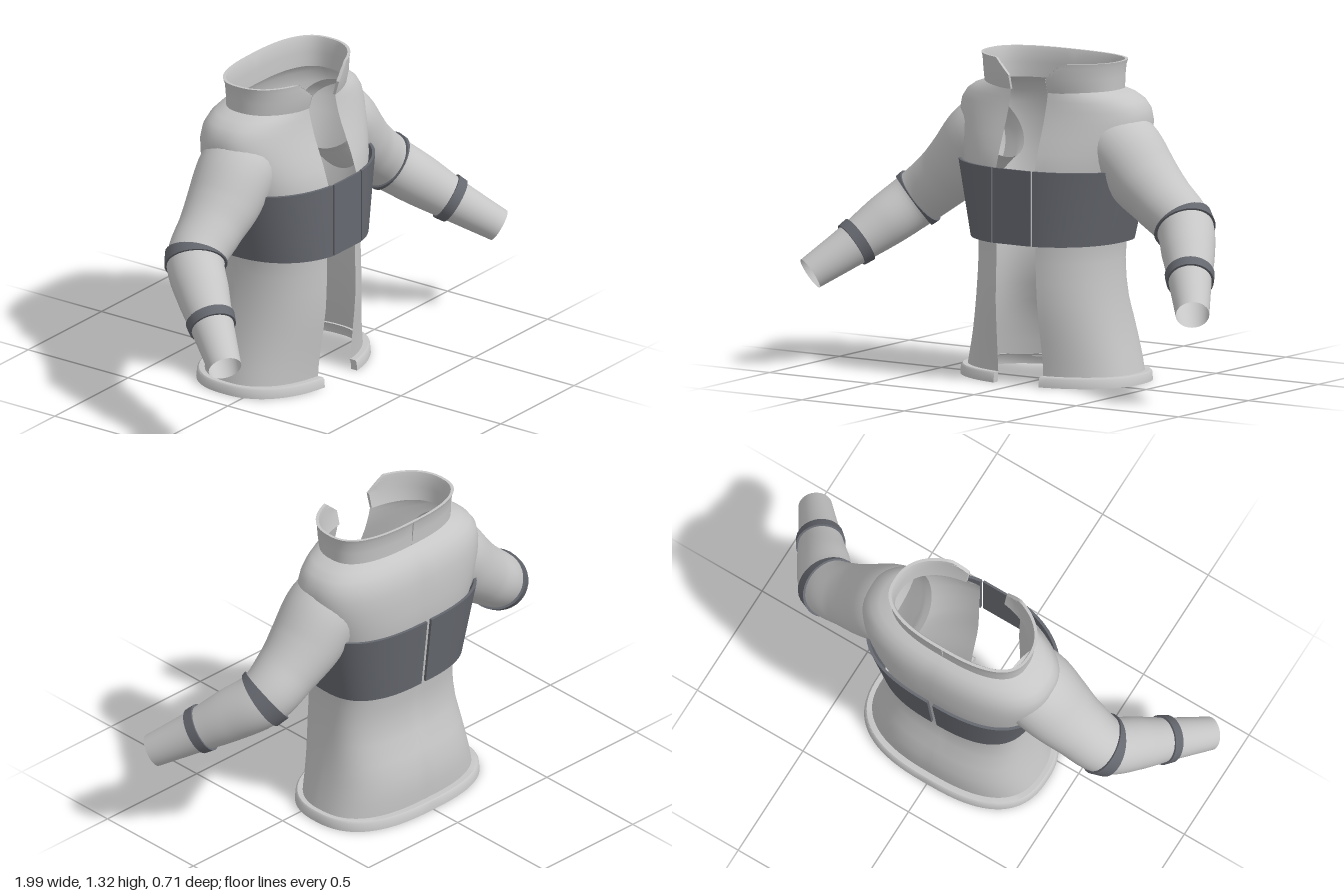
import * as THREE from 'three';
import { toCreasedNormals } from 'three/addons/utils/BufferGeometryUtils.js';

const mat = (name, color) => {
  const m = new THREE.MeshStandardMaterial({ color, side: THREE.DoubleSide });
  m.name = name;
  return m;
};

// Surface through rows of points; closed profiles get end caps
function surface(rows, capped = false) {
  const n = rows[0].length, idx = [];
  for (let i = 0; i < rows.length - 1; i++) {
    for (let j = 0; j < n - 1; j++) {
      const a = i * n + j, b = a + 1, c = a + n, d = c + 1;
      idx.push(a, b, d, a, d, c);
    }
  }
  if (capped) {
    for (const e of [0, n - 1]) {
      for (let i = 1; i < rows.length - 2; i++) idx.push(e, i * n + e, (i + 1) * n + e);
    }
  }
  const g = new THREE.BufferGeometry();
  g.setAttribute('position', new THREE.Float32BufferAttribute(rows.flat(2), 3));
  g.setIndex(idx);
  return toCreasedNormals(g, 0.75);
}

// Half of a garment cross-section, from the front opening to the back centre.
// level: [y, half width, front z, back z, front gap, back gap]
function halfSection([y, w, front, back, gap = 0.1, backGap = 0], side, eF = 0.9, eB = 0.76) {
  const zc = -0.08, n = 36, row = [];
  const t0 = Math.asin(Math.pow(gap / w, 1 / eF));
  const t1 = Math.PI - Math.asin(Math.pow(backGap / w, 1 / eB));
  const depth = (front - zc) / Math.pow(Math.cos(t0), eF);
  for (let i = 0; i <= n; i++) {
    const t = t0 + (t1 - t0) * i / n, c = Math.cos(t), e = c > 0 ? eF : eB;
    const x = w * Math.pow(Math.max(0, Math.sin(t)), e);
    const z = zc + Math.pow(Math.abs(c), e) * (c > 0 ? depth : back - zc);
    row.push([side * x, y, z]);
  }
  return row;
}

// Closed, thin-walled strip: outer wall up, inner wall down
function strip(levels, thick, side, shape = r => r) {
  const inner = levels.map(([y, w, f, b, ...g]) => [y, w - thick, f - thick, b + thick, ...g]).reverse();
  const rows = [...levels, ...inner, levels[0]].map(l => shape(halfSection(l, side)));
  return surface(rows, true);
}

const bodyLevels = [
  [0.03, 0.382, 0.165, -0.325, 0.11], [0.10, 0.365, 0.170, -0.328, 0.11],
  [0.18, 0.345, 0.180, -0.322, 0.107], [0.26, 0.330, 0.190, -0.300, 0.104],
  [0.34, 0.317, 0.198, -0.270, 0.101], [0.42, 0.309, 0.200, -0.256, 0.098],
  [0.50, 0.304, 0.200, -0.258, 0.096], [0.58, 0.306, 0.200, -0.270, 0.095],
  [0.70, 0.335, 0.205, -0.285, 0.095], [0.80, 0.362, 0.208, -0.302, 0.095],
  [0.88, 0.385, 0.205, -0.315, 0.094], [0.95, 0.408, 0.183, -0.318, 0.093],
  [1.01, 0.425, 0.160, -0.317, 0.092], [1.07, 0.432, 0.136, -0.313, 0.091],
  [1.12, 0.424, 0.120, -0.302, 0.09], [1.155, 0.400, 0.111, -0.284, 0.09],
  [1.18, 0.362, 0.106, -0.262, 0.09], [1.2, 0.308, 0.102, -0.23, 0.09],
];

// Sleeve centre line and radius
const armKeys = [
  [0.28, 1.00, -0.07, 0.145], [0.34, 0.96, -0.07, 0.152], [0.44, 0.85, -0.068, 0.143],
  [0.53, 0.77, -0.065, 0.127], [0.65, 0.675, -0.05, 0.115], [0.74, 0.585, 0.05, 0.106],
  [0.82, 0.50, 0.155, 0.088], [0.935, 0.385, 0.305, 0.068],
];
const armPath = new THREE.CatmullRomCurve3(armKeys.map(k => new THREE.Vector3(k[0], k[1], k[2])));
const armRadius = new THREE.CatmullRomCurve3(armKeys.map(k => new THREE.Vector3(k[3], k[1], 0)));

function armRing(t, grow, side) {
  const p = armPath.getPoint(t), d = armPath.getTangent(t), r = armRadius.getPoint(t).x + grow;
  const u = new THREE.Vector3().crossVectors(d, new THREE.Vector3(0, 0, 1)).normalize();
  const v = new THREE.Vector3().crossVectors(d, u);
  const wide = 1.1 - 0.1 * t, row = [];
  for (let i = 0; i <= 32; i++) {
    const a = i / 32 * Math.PI * 2;
    const q = p.clone().addScaledVector(u, Math.cos(a) * r).addScaledVector(v, Math.sin(a) * r * wide);
    row.push([side * q.x, q.y, q.z]);
  }
  return row;
}

export function createModel() {
  const model = new THREE.Group();
  model.name = 'openJacket';
  const cloth = mat('light grey cloth', 0xc6c6c6);
  const trim = mat('dark grey trim', 0x65686f);
  const add = (name, geo, material) => {
    const m = new THREE.Mesh(geo, material);
    m.name = name;
    model.add(m);
    return m;
  };

  for (const side of [1, -1]) {
    const label = side > 0 ? 'left' : 'right';

    // Torso half, open at the front
    add(label + 'Torso', surface(bodyLevels.map(l => halfSection(l, side))), cloth);

    // Hem at the bottom
    add(label + 'Hem', strip([
      [0, 0.408, 0.2, -0.36, 0.11], [0.035, 0.405, 0.197, -0.357, 0.11], [0.042, 0.398, 0.19, -0.35, 0.11],
    ], 0.03, side), cloth);

    // Standing collar with front corners cut off
    const cut = row => row.map(([x, y, z]) =>
      [x, z > 0 ? Math.min(y, 1.25 + (Math.abs(x) - 0.09) * 0.9) : y, z]);
    add(label + 'Collar', strip([
      [1.19, 0.31, 0.106, -0.232, 0.09], [1.25, 0.312, 0.122, -0.234, 0.09],
      [1.295, 0.316, 0.122, -0.238, 0.09], [1.315, 0.322, 0.124, -0.246, 0.09],
    ], 0.012, side, cut), cloth);

    // Chest band side panel, slit at the centre back
    add(label + 'ChestBand', strip([
      [0.578, 0.335, 0.232, -0.302, 0.1, 0.012], [0.885, 0.406, 0.232, -0.337, 0.1, 0.012],
    ], 0.012, side), trim);

    // Sleeve, open at the wrist
    const rings = [];
    for (let i = 0; i <= 42; i++) rings.push(armRing(i / 42, 0, side));
    add(label + 'Sleeve', surface(rings), cloth);

    // Bands around elbow and wrist
    for (const [part, t, h] of [['ElbowBand', 0.575, 0.016], ['WristBand', 0.85, 0.017]]) {
      const rows = [[-h, -0.004], [-h, 0.009], [h, 0.009], [h, -0.004]]
        .map(([dt, grow]) => armRing(t + dt, grow, side));
      add(label + part, surface(rows), trim);
    }
  }

  // Centre plate of the chest band, bridging the front opening
  const plate = add('frontBandPlate', new THREE.BoxGeometry(0.182, 0.307, 0.009), trim);
  plate.position.set(0, 0.7315, 0.229);

  return model;
}
